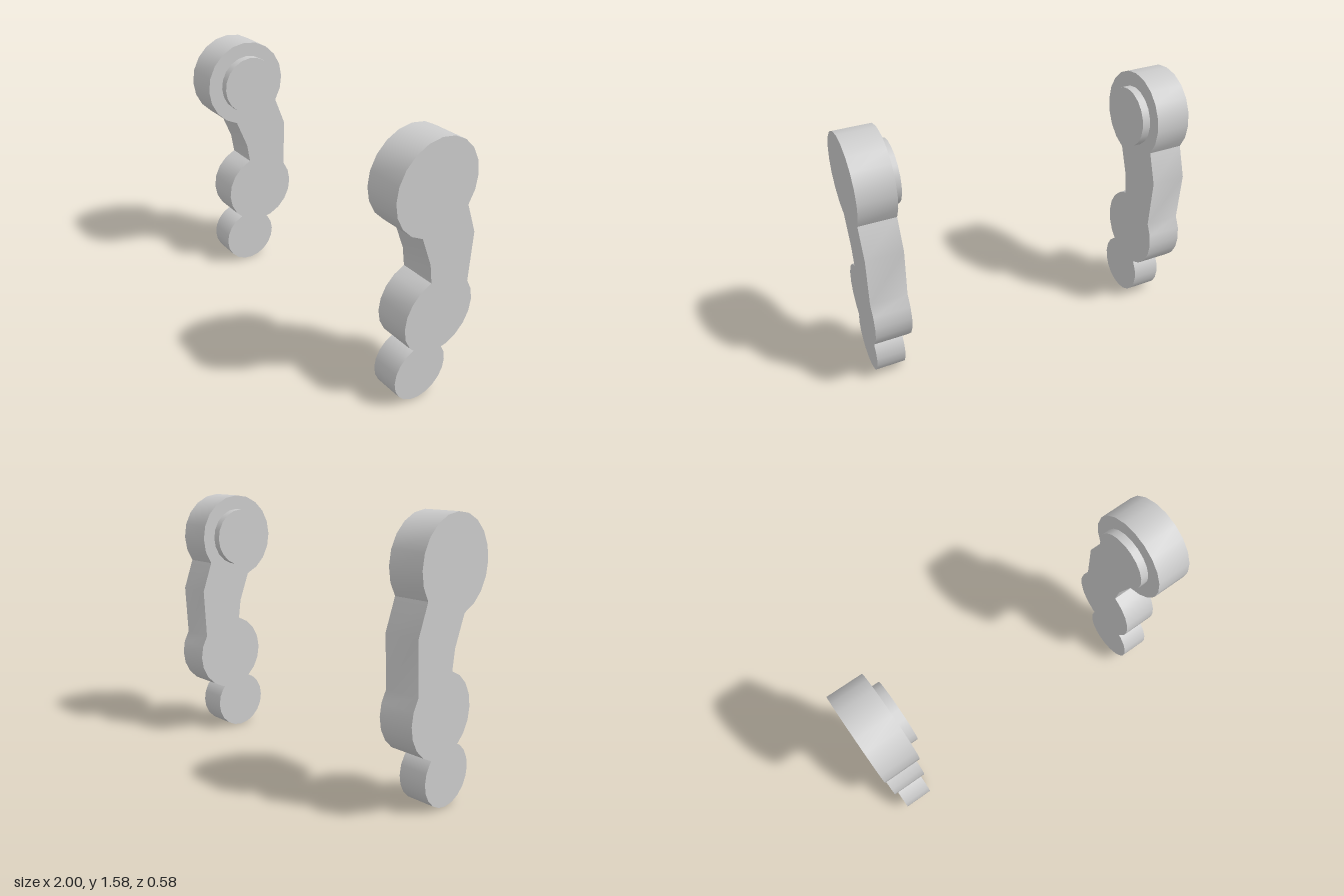
import * as THREE from 'three';
import { toCreasedNormals } from 'three/addons/utils/BufferGeometryUtils.js';

const SIDES = 20;
const STEP = (Math.PI * 2) / SIDES;
const material = new THREE.MeshStandardMaterial({ color: 0xcccccc });

// Points of a 20-sided arc, from vertex index a up to index b
function arc(cx, cy, r, a, b) {
  const pts = [];
  for (let i = a; i <= b; i++) {
    pts.push(new THREE.Vector2(cx + r * Math.cos(i * STEP), cy + r * Math.sin(i * STEP)));
  }
  return pts;
}

// Side outline (z, y): upper disc, bent neck, lower disc
function armGeometry(xMin, xMax) {
  const outline = [
    ...arc(0.025, 1.315, 0.267, -4, 12),
    new THREE.Vector2(-0.257, 0.978),
    ...arc(-0.05, 0.54, 0.238, 8, 24),
    new THREE.Vector2(0.04, 0.885),
  ];
  // drop the seam vertex order: arcs run counter-clockwise around the whole outline
  const geo = new THREE.ExtrudeGeometry(new THREE.Shape(outline), {
    depth: xMax - xMin,
    bevelEnabled: false,
  });
  geo.rotateY(-Math.PI / 2); // outline x becomes z, depth runs to -x
  geo.translate(xMax, 0, 0);
  return toCreasedNormals(geo, 0.55);
}

// Disc with its axis along x
function discGeometry(xMin, xMax, y, z, r) {
  const geo = new THREE.CylinderGeometry(r, r, xMax - xMin, SIDES);
  geo.rotateZ(Math.PI / 2);
  geo.translate((xMin + xMax) / 2, y, z);
  return geo;
}

export function createModel() {
  const model = new THREE.Group();
  model.name = 'armPair';

  for (const [label, s] of [['left', 1], ['right', -1]]) {
    const side = new THREE.Group();
    side.name = label + 'Arm';
    const add = (name, geo) => {
      const mesh = new THREE.Mesh(geo, material);
      mesh.name = name;
      side.add(mesh);
    };
    // x range mirrored for the right side
    const span = (a, b) => (s > 0 ? [a, b] : [-b, -a]);

    add('armBody', armGeometry(...span(0.787, 1)));
    add('shoulderBoss', discGeometry(...span(0.738, 0.8), 1.315, 0.02, 0.18));
    add('handDisc', discGeometry(...span(0.807, 0.98), 0.181, 0.038, 0.18));
    model.add(side);
  }
  return model;
}
